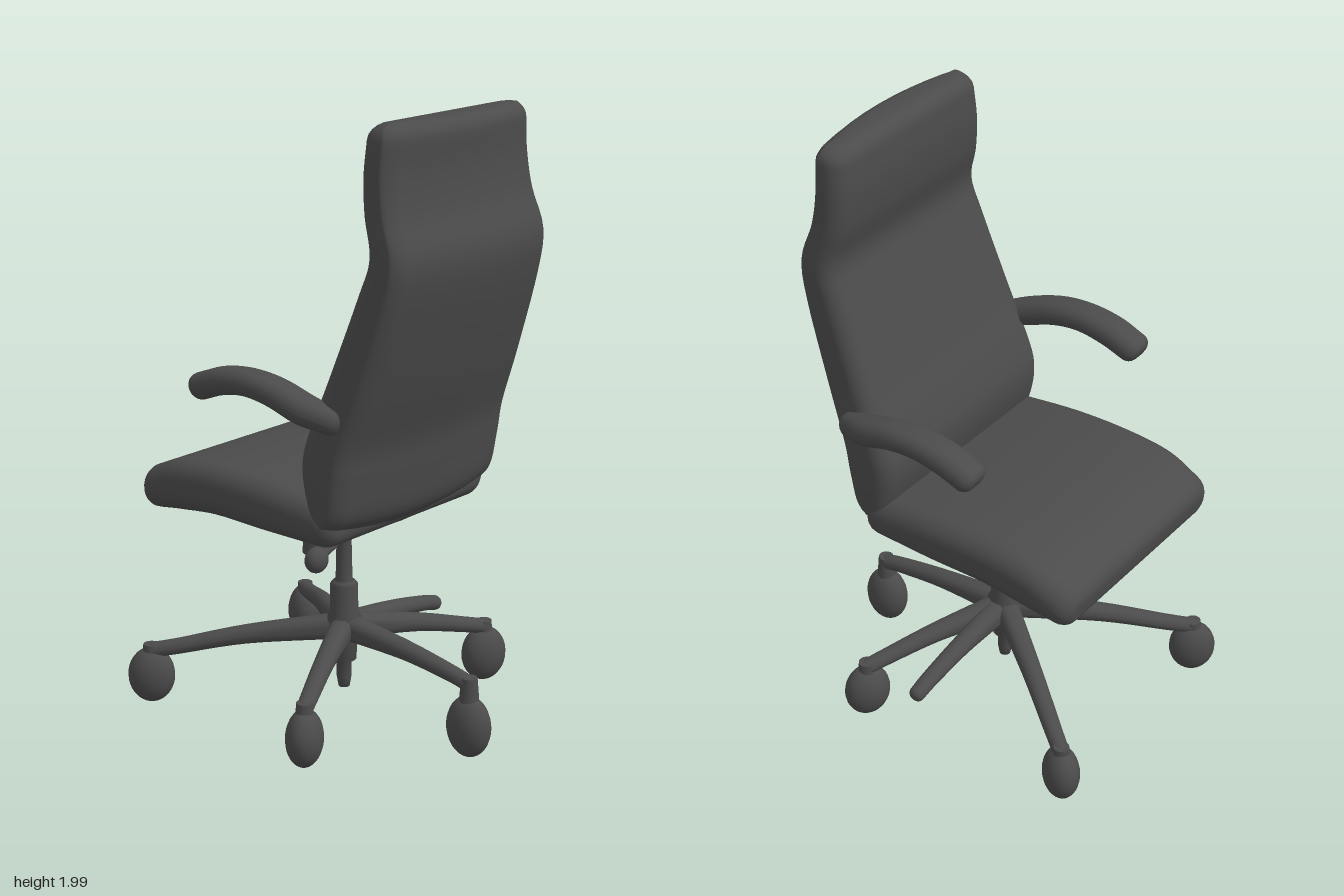
import * as THREE from 'three';

const charcoal = new THREE.MeshStandardMaterial({ color: 0x4b4b4b });
charcoal.name = 'charcoal';

// Rounded rectangle between two points of a section [px,py, qx,qy, halfWidth, zCentre]
function ring([px, py, qx, qy, w, zc], radius, bulge) {
  const a = Math.hypot(qx - px, qy - py) / 2;
  const ux = (qx - px) / (2 * a), uy = (qy - py) / (2 * a);
  const r = Math.min(radius, a * 0.98, w * 0.98);
  const flat = [];
  const signs = [[1, 1], [-1, 1], [-1, -1], [1, -1]];
  signs.forEach(([su, sz], k) => {
    for (let i = 0; i <= 6; i++) {
      const t = (k + i / 6) * Math.PI / 2;
      flat.push([su * (a - r) + r * Math.cos(t), sz * (w - r) + r * Math.sin(t)]);
    }
    if (k % 2) {
      for (let i = 1; i < 8; i++) flat.push([su * a, sz * (w - r) * (1 - i / 4)]);
    }
  });
  return flat.map(([u, z]) => {
    const b = u > 0 ? bulge * (u / a) * (z / w) ** 2 : 0;
    const v = u - b;
    return [(px + qx) / 2 + ux * v, (py + qy) / 2 + uy * v, zc + z];
  });
}

// Cushion-like loft through smoothed sections, with domed ends
function loft(keys, radius, dome, bulge = 0) {
  const c1 = new THREE.CatmullRomCurve3(keys.map(s => new THREE.Vector3(s[0], s[1], s[2])), false, 'catmullrom');
  const c2 = new THREE.CatmullRomCurve3(keys.map(s => new THREE.Vector3(s[3], s[4], s[5])), false, 'catmullrom');
  const n = (keys.length - 1) * 5, secs = [];
  for (let i = 0; i <= n; i++) secs.push([...c1.getPoint(i / n).toArray(), ...c2.getPoint(i / n).toArray()]);
  const mid = s => new THREE.Vector3((s[0] + s[2]) / 2, (s[1] + s[3]) / 2, s[5]);
  const domeEnd = (end, next) => {
    const d = mid(end).sub(mid(next)).normalize();
    const a = Math.hypot(end[2] - end[0], end[3] - end[1]) / 2;
    return [18, 36, 54, 72, 88].map(deg => {
      const t = deg * Math.PI / 180, inset = dome * (1 - Math.cos(t)), go = dome * Math.sin(t);
      const f = Math.max(0.05, (a - inset) / a), m = mid(end);
      return [
        m.x + (end[0] - m.x) * f + d.x * go, m.y + (end[1] - m.y) * f + d.y * go,
        m.x + (end[2] - m.x) * f + d.x * go, m.y + (end[3] - m.y) * f + d.y * go,
        Math.max(0.003, end[4] - inset), end[5] + d.z * go];
    });
  };
  const all = [...domeEnd(secs[0], secs[1]).reverse(), ...secs, ...domeEnd(secs[n], secs[n - 1])];
  const rings = all.map(s => ring(s, radius, bulge));
  const m = rings[0].length, pos = rings.flat(2), idx = [];
  for (let i = 0; i < rings.length - 1; i++) {
    for (let j = 0; j < m; j++) {
      const a = i * m + j, b = i * m + (j + 1) % m;
      idx.push(a, b, a + m, b, b + m, a + m);
    }
  }
  const c = rings.length * m, last = c - m;
  pos.push(...mid(all[0]).toArray(), ...mid(all[all.length - 1]).toArray());
  for (let j = 0; j < m; j++) {
    const k = (j + 1) % m;
    idx.push(c, k, j, c + 1, last + j, last + k);
  }
  // Turn the faces outward
  let volume = 0;
  const at = i => new THREE.Vector3(pos[3 * i], pos[3 * i + 1], pos[3 * i + 2]);
  for (let i = 0; i < idx.length; i += 3) volume += at(idx[i]).dot(at(idx[i + 1]).cross(at(idx[i + 2])));
  if (volume < 0) idx.reverse();
  const g = new THREE.BufferGeometry();
  g.setAttribute('position', new THREE.Float32BufferAttribute(pos, 3));
  g.setIndex(idx);
  g.computeVertexNormals();
  return g;
}

export function createModel() {
  const chair = new THREE.Group();
  chair.name = 'officeChair';
  const add = (name, geo, x = 0, y = 0, z = 0, parent = chair) => {
    const mesh = new THREE.Mesh(geo, charcoal);
    mesh.name = name;
    mesh.position.set(x, y, z);
    parent.add(mesh);
    return mesh;
  };

  // Seat cushion with rolled front edge
  add('seat', loft([
    [-0.475, 0.838, -0.455, 0.70, 0.395, 0.006],
    [-0.36, 0.882, -0.36, 0.715, 0.402, 0.006],
    [-0.2, 0.897, -0.2, 0.73, 0.402, 0.006],
    [0, 0.89, 0, 0.725, 0.402, 0.006],
    [0.22, 0.865, 0.22, 0.72, 0.395, 0.006],
  ], 0.065, 0.05));

  // Tall backrest with lumbar curve and headrest
  add('backrest', loft([
    [0.19, 0.82, 0.26, 0.74, 0.385, 0.008],
    [0.17, 0.88, 0.335, 0.80, 0.395, 0.008],
    [0.158, 0.97, 0.365, 0.93, 0.4, 0.008],
    [0.175, 1.06, 0.385, 1.04, 0.398, 0.008],
    [0.25, 1.25, 0.45, 1.22, 0.385, 0.01],
    [0.345, 1.5, 0.53, 1.48, 0.37, 0.01],
    [0.382, 1.62, 0.55, 1.62, 0.362, 0.01],
    [0.355, 1.74, 0.512, 1.74, 0.352, 0.01],
    [0.345, 1.85, 0.495, 1.85, 0.345, 0.01],
    [0.35, 1.95, 0.495, 1.95, 0.337, 0.01],
  ], 0.055, 0.05, 0.045));

  // Curved armrests
  for (const s of [-1, 1]) {
    const z = o => s * o + 0.005;
    add(s > 0 ? 'leftArmrest' : 'rightArmrest', loft([
      [-0.2, 1.205, -0.165, 1.128, 0.055, z(0.425)],
      [-0.11, 1.235, -0.09, 1.155, 0.057, z(0.425)],
      [0, 1.245, 0, 1.17, 0.057, z(0.425)],
      [0.11, 1.233, 0.095, 1.157, 0.057, z(0.423)],
      [0.22, 1.2, 0.2, 1.118, 0.055, z(0.415)],
      [0.305, 1.168, 0.285, 1.096, 0.045, z(0.39)],
    ], 0.06, 0.032));
  }

  // Tilt mechanism under the seat
  add('mountPlate', new THREE.BoxGeometry(0.33, 0.03, 0.3), -0.005, 0.715, 0);
  add('mechanism', new THREE.BoxGeometry(0.2, 0.05, 0.17), 0, 0.69, 0);
  add('tensionKnob', new THREE.CylinderGeometry(0.04, 0.045, 0.16, 20), -0.115, 0.61, -0.005).rotation.z = -0.08;
  const leverPath = new THREE.CatmullRomCurve3([
    new THREE.Vector3(0, 0.665, 0), new THREE.Vector3(0.03, 0.63, 0.06), new THREE.Vector3(0.052, 0.605, 0.18)]);
  add('lever', new THREE.TubeGeometry(leverPath, 16, 0.015, 10));
  add('leverKnob', new THREE.SphereGeometry(1, 20, 14), 0.055, 0.6, 0.195).scale.set(0.034, 0.042, 0.042);

  // Gas column
  const profile = [[0, 0.1], [0.018, 0.105], [0.024, 0.14], [0.024, 0.19], [0.04, 0.2], [0.042, 0.26], [0.058, 0.28],
    [0.058, 0.34], [0.046, 0.36], [0.044, 0.455], [0.036, 0.465], [0.027, 0.47], [0.024, 0.6], [0.04, 0.64], [0.06, 0.68], [0, 0.7]];
  add('column', new THREE.LatheGeometry(profile.map(p => new THREE.Vector2(...p)), 28));

  // Five legs with casters, plus one bare short leg: [x, z, tipTop, casterY]
  const feet = [
    [-0.495, -0.372, 0.25, 0.13], [-0.495, 0.378, 0.25, 0.13],
    [0.225, -0.445, 0.27, 0.14], [0.225, 0.447, 0.27, 0.14],
    [0.505, 0, 0.285, 0.108], [0, -0.47, 0.29, null],
  ];
  feet.forEach(([x, z, top, casterY], i) => {
    const leg = new THREE.Group();
    leg.name = 'leg' + (i + 1);
    leg.rotation.y = Math.atan2(-z, x);
    chair.add(leg);
    const L = Math.hypot(x, z);
    add('spoke', loft([
      [0.02, 0.352, 0.02, 0.27, 0.038, 0],
      [L * 0.5, (0.352 + top) / 2 + 0.006, L * 0.5, (0.27 + top) / 2 - 0.015, 0.032, 0],
      [L * 0.85, top + 0.006, L * 0.85, top - 0.045, 0.028, 0],
      [L, top - 0.012, L - 0.01, top - 0.06, 0.026, 0],
    ], 0.03, 0.02), 0, 0, 0, leg);
    if (casterY === null) return;
    add('casterStem', new THREE.CylinderGeometry(0.025, 0.035, 0.12, 14), L, top - 0.075, 0, leg);
    add('caster', new THREE.SphereGeometry(1, 24, 18), L, casterY, 0, leg)
      .scale.set(0.076, casterY < 0.12 ? 0.1 : 0.092, 0.058);
  });
  return chair;
}
